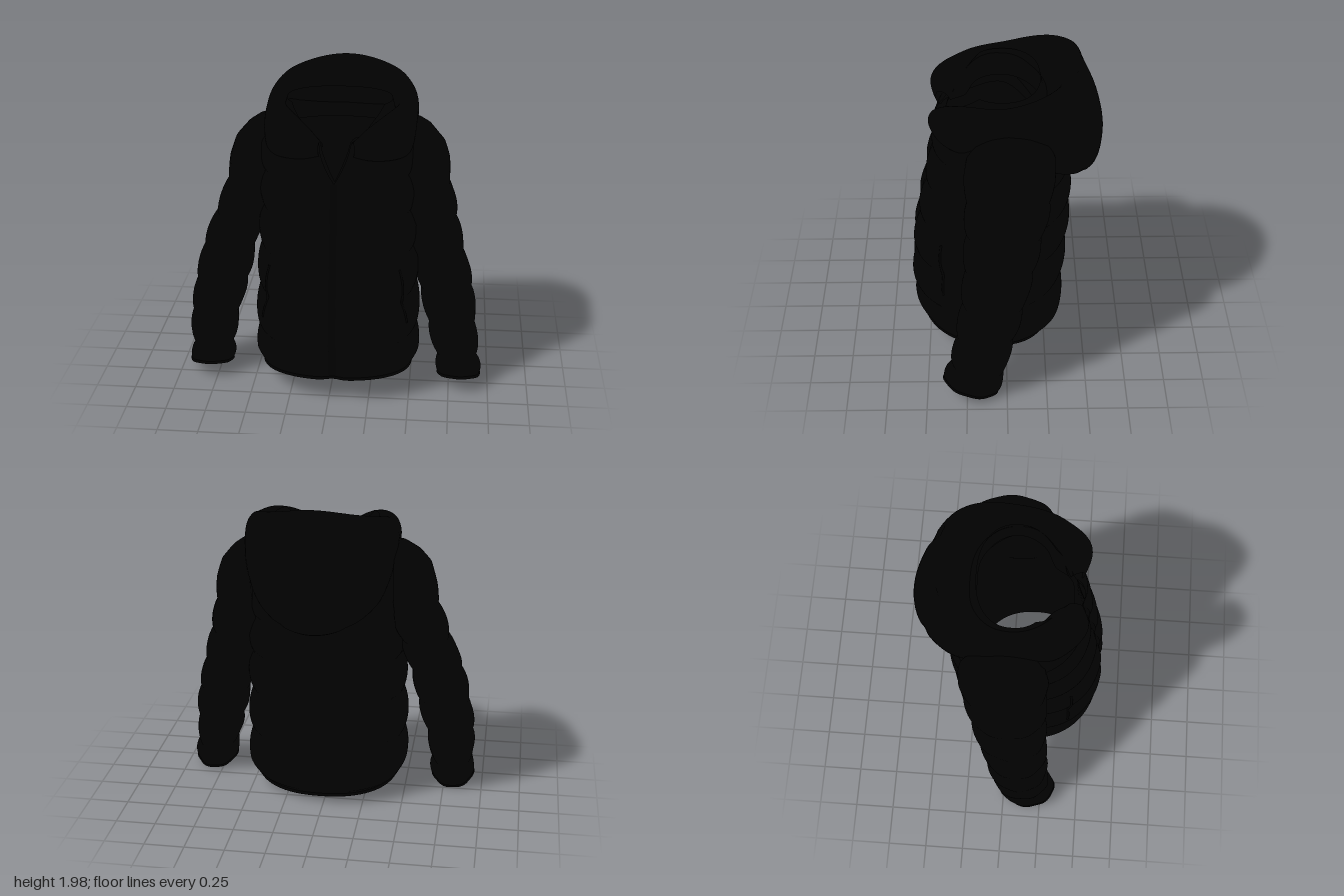
import * as THREE from 'three';
import { mergeVertices } from 'three/addons/utils/BufferGeometryUtils.js';

const V = (x, y, z) => new THREE.Vector3(x, y, z);

// Smooth surface from a rule: fn(u, v) gives a point
function surface(nu, nv, fn) {
  const pos = [], index = [];
  for (let j = 0; j <= nv; j++)
    for (let i = 0; i <= nu; i++) pos.push(...fn(i / nu, j / nv).toArray());
  for (let j = 0; j < nv; j++)
    for (let i = 0; i < nu; i++) {
      const a = j * (nu + 1) + i, b = a + 1, c = a + nu + 1, d = c + 1;
      index.push(a, b, d, a, d, c);
    }
  let g = new THREE.BufferGeometry();
  g.setAttribute('position', new THREE.Float32BufferAttribute(pos, 3));
  g.setIndex(index);
  g = mergeVertices(g, 1e-5);
  g.computeVertexNormals();
  return g;
}

// Linear lookup in rows of [key, a, b, ...]
function lookup(rows, key) {
  let i = 0;
  while (i < rows.length - 2 && key > rows[i + 1][0]) i++;
  const f = THREE.MathUtils.clamp((key - rows[i][0]) / (rows[i + 1][0] - rows[i][0]), 0, 1);
  return rows[i].slice(1).map((a, k) => THREE.MathUtils.lerp(a, rows[i + 1][k + 1], f));
}

// Quilted bulge between seams, 0 on a seam and 1 in the middle
function puff(seams, y) {
  for (let i = 0; i < seams.length - 1; i++)
    if (y > seams[i] && y < seams[i + 1])
      return Math.sin(Math.PI * (y - seams[i]) / (seams[i + 1] - seams[i])) ** 0.6;
  return 0;
}

const fadeOut = (y, from, to) => 1 - THREE.MathUtils.smoothstep(y, from, to);
const spow = (s, p) => Math.sign(s) * Math.abs(s) ** p;

// Body rows: height, half width, front z, back z
const bodyRows = [
  [0.04, 0.46, 0.52, -0.275], [0.15, 0.49, 0.565, -0.33], [0.4, 0.49, 0.583, -0.338],
  [0.7, 0.48, 0.57, -0.36], [0.97, 0.47, 0.525, -0.375], [1.22, 0.46, 0.475, -0.37],
  [1.47, 0.47, 0.43, -0.35], [1.6, 0.47, 0.395, -0.32], [1.68, 0.43, 0.35, -0.28],
  [1.75, 0.35, 0.29, -0.23], [1.84, 0.325, 0.25, -0.21]];
const bodySeams = [0.08, 0.4, 0.7, 0.97, 1.22, 1.47, 1.7];
// Half angle of the open neck by height
const neckGap = [[1.42, 0], [1.66, 0.18], [1.84, 1.0]];

function bodyPoint(theta, y, out = 0, quilt = 1) {
  const [hw, zf, zb] = lookup(bodyRows, y);
  const front = (Math.cos(theta) + 1) / 2;
  const b = quilt * (0.042 - 0.01 * front) * puff(bodySeams, y + 0.08 * front) + out;
  const x = (hw + b) * spow(Math.sin(theta), 0.87);
  let z = (zf + zb) / 2 + ((zf - zb) / 2 + b) * spow(Math.cos(theta), 0.87);
  if (front > 0.5) z -= 0.03 * Math.exp(-((x / 0.05) ** 2));
  const lift = 0.11 * (z + 0.25) / 0.8 * fadeOut(y, 0.05, 0.5);
  return V(x + 0.025, y + lift, z);
}

// Body wall between two heights, parted at the neck
const bodyWall = (y0, y1, out, quilt) => surface(120, 110, (u, v) => {
  const y = THREE.MathUtils.lerp(y0, y1, v), gap = lookup(neckGap, y)[0];
  return bodyPoint(gap + u * (Math.PI * 2 - 2 * gap), y, out, quilt);
});

// Sleeve rows: height, outer x, inner x, front z, back z
const sleeveRows = [
  [0.06, 0.935, 0.685, 0.385, 0.07], [0.19, 0.915, 0.68, 0.34, 0.03], [0.4, 0.91, 0.63, 0.3, -0.03],
  [0.62, 0.88, 0.57, 0.265, -0.095], [0.85, 0.825, 0.52, 0.245, -0.15], [1.07, 0.755, 0.46, 0.235, -0.205],
  [1.29, 0.695, 0.4, 0.235, -0.25], [1.44, 0.67, 0.36, 0.23, -0.27], [1.55, 0.635, 0.34, 0.21, -0.265],
  [1.63, 0.575, 0.34, 0.17, -0.23], [1.68, 0.515, 0.35, 0.1, -0.17], [1.715, 0.45, 0.43, 0.0, -0.06]];
const sleeveSeams = [0.06, 0.19, 0.4, 0.62, 0.85, 1.07, 1.29, 1.7];

function sleevePoint(side, theta, y, out = 0) {
  const [xo, xi, zf, zb] = lookup(sleeveRows, y);
  const b = 0.023 * puff(sleeveSeams, y) + 0.003 * Math.sin(theta * 7 + y * 14) + out;
  // the inner side stops flat at the armhole
  const x = Math.max((xo + xi) / 2 + side * ((xo - xi) / 2 + b) * Math.sin(theta), 0.44);
  const z = (zf + zb) / 2 + ((zf - zb) / 2 + b) * Math.cos(theta);
  const shiftX = 0.005 - 0.015 * THREE.MathUtils.smoothstep(y, 0.1, 0.4)
    + 0.03 * THREE.MathUtils.smoothstep(y, 0.85, 1.35);
  // the right forearm hangs a little further back
  const shiftZ = side < 0 ? -0.055 * fadeOut(y, 0.1, 0.8) : 0;
  return V(side * x + shiftX, y + 0.3 * (z - 0.22) * fadeOut(y, 0.06, 0.4), z + shiftZ);
}

// Hood: profile from inner base over the rim to the underside, as [radius, height] at angles from the back
const hoodKeys = [
  [0, [[0.21, 1.64], [0.28, 1.77], [0.39, 1.94], [0.435, 1.99], [0.478, 1.9], [0.555, 1.73], [0.6, 1.47], [0.545, 1.25], [0.38, 1.23]]],
  [45, [[0.26, 1.64], [0.31, 1.76], [0.41, 1.91], [0.455, 1.935], [0.51, 1.86], [0.545, 1.68], [0.54, 1.5], [0.48, 1.35], [0.36, 1.35]]],
  [90, [[0.32, 1.66], [0.33, 1.75], [0.36, 1.82], [0.4, 1.85], [0.45, 1.82], [0.47, 1.74], [0.455, 1.66], [0.43, 1.6], [0.36, 1.58]]],
  [125, [[0.31, 1.66], [0.32, 1.75], [0.36, 1.8], [0.4, 1.82], [0.47, 1.79], [0.515, 1.7], [0.52, 1.62], [0.5, 1.56], [0.42, 1.54]]],
  [150, [[0.29, 1.62], [0.31, 1.68], [0.37, 1.74], [0.43, 1.755], [0.5, 1.74], [0.53, 1.69], [0.52, 1.63], [0.49, 1.575], [0.43, 1.55]]],
  [166, [[0.35, 1.62], [0.36, 1.64], [0.38, 1.66], [0.4, 1.67], [0.43, 1.67], [0.44, 1.64], [0.44, 1.61], [0.43, 1.59], [0.41, 1.58]]]];

function hoodSurface() {
  const all = [...hoodKeys.slice(1).reverse().map(([a, p]) => [-a, p]), ...hoodKeys];
  const rails = hoodKeys[0][1].map((_, j) =>
    new THREE.CatmullRomCurve3(all.map(([a, p]) => V(a / 100, ...p[j]))));
  const columns = new Map();
  return surface(120, 40, (u, v) => {
    if (!columns.has(u)) columns.set(u, new THREE.CatmullRomCurve3(rails.map(r => r.getPoint(u))));
    const p = columns.get(u).getPoint(v), a = THREE.MathUtils.degToRad(p.x * 100);
    // panel seams down the back of the hood
    const groove = v > 0.4 ? 0.012 * Math.exp(-(((Math.abs(a) - 0.42) / 0.06) ** 2)) : 0;
    const r = p.y - groove;
    return V(0.037 + r * Math.sin(a), p.z, -r * Math.cos(a));
  });
}

export function createModel() {
  const jacket = new THREE.Group();
  jacket.name = 'paddedJacket';
  const shell = new THREE.MeshStandardMaterial({ color: 0x010101, side: THREE.DoubleSide });
  shell.name = 'black shell';
  const trim = new THREE.MeshStandardMaterial({ color: 0x000000, side: THREE.DoubleSide });
  trim.name = 'black trim';
  const add = (name, geometry, material) => {
    const m = new THREE.Mesh(geometry, material);
    m.name = name;
    jacket.add(m);
  };
  const tube = (pts, r, closed) =>
    new THREE.TubeGeometry(new THREE.CatmullRomCurve3(pts, closed), closed ? 96 : 40, r, 8, closed);
  const ring = fn => Array.from({ length: 48 }, (_, i) => fn(i / 48 * Math.PI * 2));

  // Quilted body with an open neck, and its smooth lining
  add('body', bodyWall(0.04, 1.84, 0, 1), shell);
  add('lining', bodyWall(0.06, 1.68, -0.03, 0), shell);
  add('hem', tube(ring(t => bodyPoint(t, 0.048)), 0.012, true), trim);

  // Front zip placket following the quilting
  add('zipPlacket', surface(4, 70, (u, v) => bodyPoint((u - 0.5) * 0.06, 0.06 + v * 1.36, 0.006)), trim);

  // Sleeves, cuffs and pocket zips
  for (const side of [1, -1]) {
    const label = side > 0 ? 'left' : 'right';
    add(label + 'Sleeve', surface(64, 100, (u, v) =>
      sleevePoint(side, u * Math.PI * 2, 0.06 + v * 1.655)), shell);
    add(label + 'Cuff', tube(ring(t => sleevePoint(side, t, 0.065)), 0.01, true), trim);
    add(label + 'PocketZip', tube([0, 1, 2, 3, 4, 5, 6].map(i =>
      bodyPoint(side * (1.02 - i * 0.02), 0.5 + i * 0.06)), 0.008, false), trim);
  }

  // Hood folded back around the neck
  add('hood', hoodSurface(), shell);
  return jacket;
}
